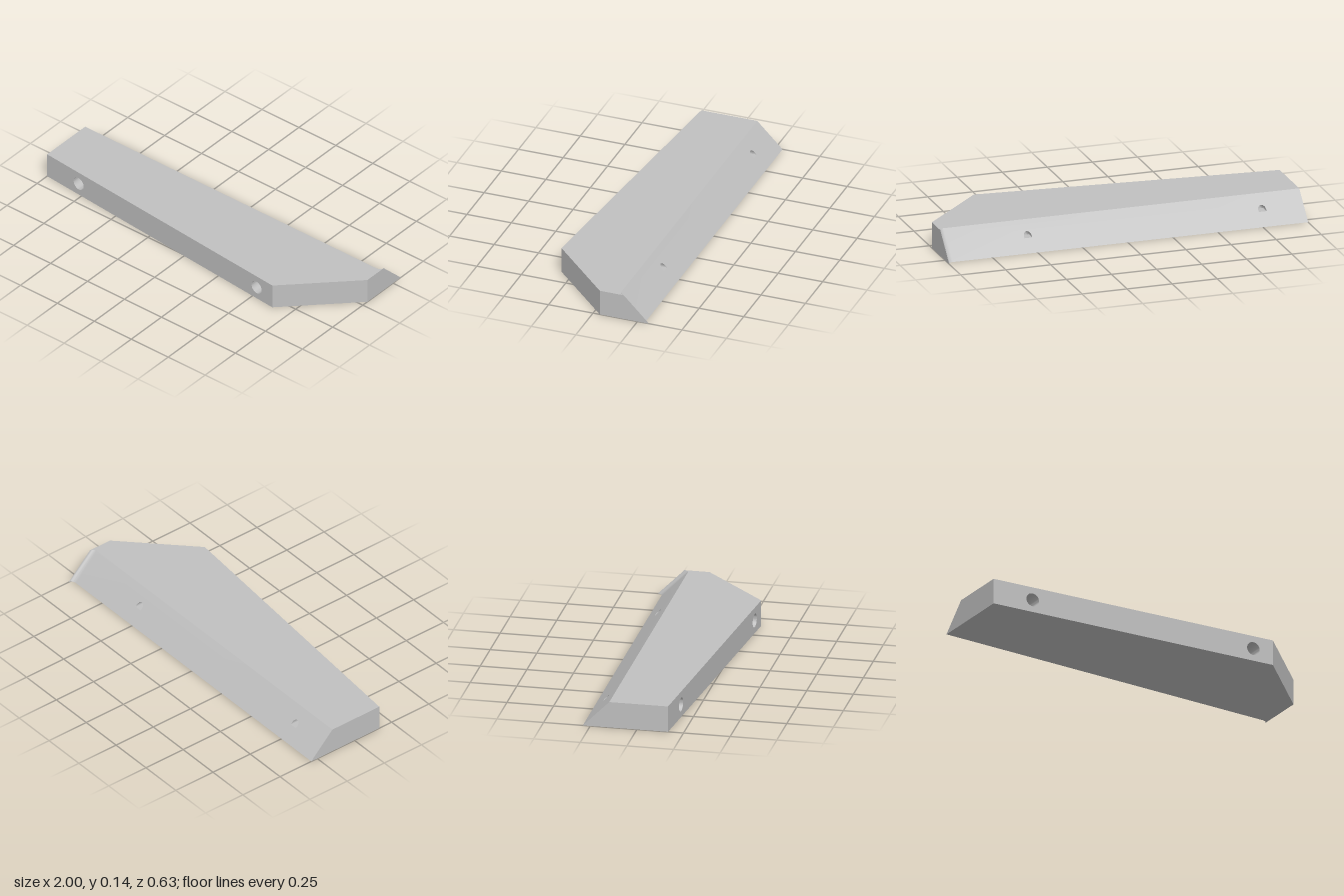
import * as THREE from 'three';
import { mergeGeometries, toCreasedNormals } from 'three/addons/utils/BufferGeometryUtils.js';

const H = 0.142, BACK = -0.29, FLARE = 0.025, LIP = 0.03;
const HOLE_Y = 0.07, HOLES = [-0.77, 0.53];
const BORE_R = 0.037, SCREW_R = 0.022, FLAT_Y = 0.064;
const SHOULDER_Z = -0.02, STEP_Z = -0.17;

const frontZ = (x) => 0.167 + ((x + 1) / 1.645) * 0.148;
const backZ = (x, y) => BACK + y;

// Flat shape moved onto a surface by a rule, optionally turned to face the other way
function face(points, holes, rule, flip = false) {
  const shape = new THREE.Shape(points);
  shape.holes = holes.map((h) => new THREE.Path(h));
  const g = new THREE.ShapeGeometry(shape);
  const p = g.attributes.position;
  for (let i = 0; i < p.count; i++) p.setXYZ(i, ...rule(p.getX(i), p.getY(i)));
  if (flip) g.index.array.reverse();
  const out = g.toNonIndexed();
  out.deleteAttribute('uv');
  out.deleteAttribute('normal');
  return out;
}

// Quads between pairs of corners, counter-clockwise from the outside
function quads(list) {
  const v = [];
  for (const [a, b, c, d] of list) v.push(...a, ...b, ...c, ...a, ...c, ...d);
  const g = new THREE.BufferGeometry();
  g.setAttribute('position', new THREE.Float32BufferAttribute(v, 3));
  return g;
}

// Inward-facing tube that follows a closed profile from one depth rule to another
function bore(profile, near, far) {
  return quads(profile.map((p, i) => {
    const q = profile[(i + 1) % profile.length];
    return [
      [p.x, p.y, near(p.x, p.y)], [q.x, q.y, near(q.x, q.y)],
      [q.x, q.y, far(q.x, q.y)], [p.x, p.y, far(p.x, p.y)],
    ];
  }));
}

function arc(x, r, from = 0, to = Math.PI * 2, n = 32) {
  const closed = to - from > 6.28;
  return Array.from({ length: closed ? n : n + 1 }, (_, i) => {
    const a = from + ((to - from) * i) / n;
    return new THREE.Vector2(x + r * Math.cos(a), HOLE_Y + r * Math.sin(a));
  });
}

// Circle with its lower part cut off flat
function dProfile(x) {
  const a = Math.asin((FLAT_Y - HOLE_Y) / SCREW_R);
  return arc(x, SCREW_R, a, Math.PI - a, 20);
}

// Plan outline as [x, z] at a height, with the flared lip at the back left corner
function outline(y) {
  const pts = [[-1, 0.167], [0.645, 0.315], [1, -0.038]];
  for (let i = 0; i <= 8; i++) {
    const a = (i / 8) * Math.PI / 2;
    pts.push([1 - LIP + LIP * Math.cos(a), BACK + y - FLARE * (1 - Math.sin(a))]);
  }
  pts.push([-1, BACK + y]);
  return pts;
}

const box = (x0, x1) => [[x0, 0], [x1, 0], [x1, H], [x0, H]].map((p) => new THREE.Vector2(...p));
const smooth = (parts) => toCreasedNormals(mergeGeometries(parts), 0.5);

export function createModel() {
  const model = new THREE.Group();
  const grey = new THREE.MeshStandardMaterial({ color: 0xc0c0c0 });
  grey.name = 'light grey';
  const add = (name, parts) => {
    const mesh = new THREE.Mesh(smooth(parts), grey);
    mesh.name = name;
    model.add(mesh);
  };

  // Top and bottom faces
  const low = outline(0), high = outline(H), n = low.length;
  const cap = (pts, y, flip) =>
    face(pts.map(([x, z]) => new THREE.Vector2(x, -z)), [], (x, d) => [x, y, -d], flip);

  // Side walls, leaving out the two faces that carry the holes
  const walls = [];
  for (let i = 1; i < n; i++) {
    if (i === n - 2) continue;
    const j = (i + 1) % n;
    walls.push([
      [low[i][0], 0, low[i][1]], [low[j][0], 0, low[j][1]],
      [high[j][0], H, high[j][1]], [high[i][0], H, high[i][1]],
    ]);
  }

  add('wedgeBody', [
    cap(low, 0, true),
    cap(high, H, false),
    quads(walls),
    face(box(-1, 0.645), HOLES.map((x) => arc(x, BORE_R)), (x, y) => [x, y, frontZ(x)]),
    face(box(-1, 1 - LIP), HOLES.map(dProfile), (x, y) => [x, y, backZ(x, y)], true),
  ]);

  // Counterbored screw holes running from the front to the sloped back
  const shoulder = () => SHOULDER_Z, step = () => STEP_Z;
  HOLES.forEach((x, i) => {
    const wide = arc(x, BORE_R), narrow = arc(x, SCREW_R), d = dProfile(x);
    const a = Math.asin((FLAT_Y - HOLE_Y) / SCREW_R);
    const ledge = arc(x, SCREW_R, Math.PI - a, 2 * Math.PI + a, 12);
    add(i ? 'leftScrewHole' : 'rightScrewHole', [
      bore(wide, frontZ, shoulder),
      face(wide, [narrow], (px, py) => [px, py, SHOULDER_Z]),
      bore(narrow, shoulder, step),
      face(ledge, [], (px, py) => [px, py, STEP_Z]),
      bore(d, step, backZ),
    ]);
  });
  return model;
}
